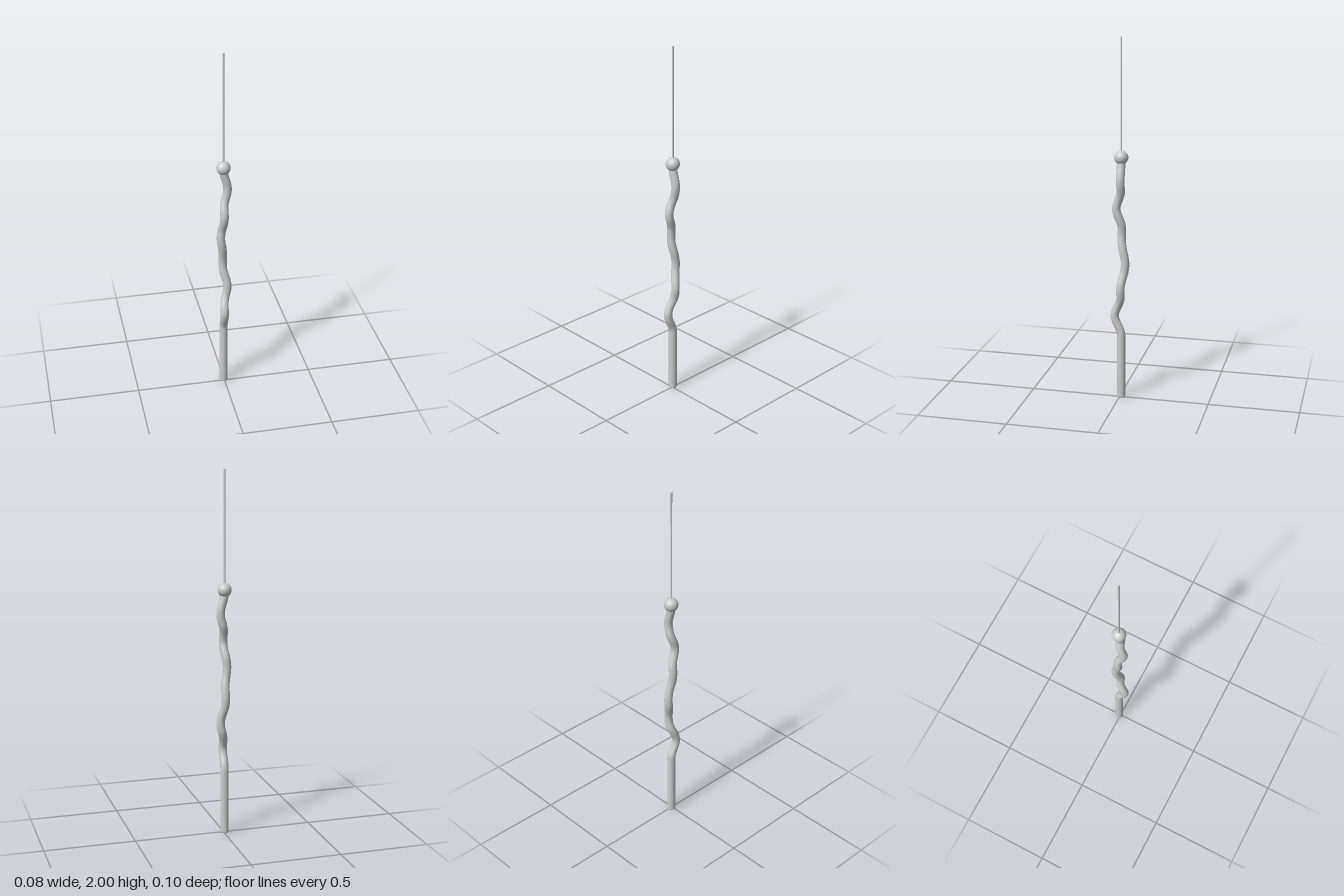
import * as THREE from 'three';

const X0 = -0.004, Z0 = -0.008; // axis of the straight parts
const RADIUS = 0.023, KNOB_Y = 1.362;

// Bends of the shaft: axis, height of the peak, half height of the bend, offset
const BENDS = [
  ['z', 0.475, 0.115, 0.036],
  ['x', 0.63, 0.12, 0.022],
  ['z', 0.77, 0.14, -0.022],
  ['x', 0.94, 0.12, -0.014],
  ['z', 1.08, 0.105, 0.027],
  ['x', 1.235, 0.115, 0.022],
];

// Centre line: a vertical line with smooth sideways bends
class ShaftCurve extends THREE.Curve {
  getPoint(t, target = new THREE.Vector3()) {
    const y = 0.004 + t * (KNOB_Y - 0.004);
    target.set(X0, y, Z0);
    for (const [axis, peak, half, offset] of BENDS) {
      const d = (y - peak) / half;
      if (Math.abs(d) < 1) target[axis] += offset * (0.5 + 0.5 * Math.cos(Math.PI * d));
    }
    return target;
  }
}

export function createModel() {
  const group = new THREE.Group();
  const material = new THREE.MeshStandardMaterial({ color: 0xcccccc });
  const add = (name, geometry, y) => {
    const mesh = new THREE.Mesh(geometry, material);
    mesh.name = name;
    if (y !== undefined) mesh.position.set(X0, y, Z0);
    group.add(mesh);
  };

  // Crooked shaft
  add('shaft', new THREE.TubeGeometry(new ShaftCurve(), 200, RADIUS, 24), undefined);

  // Closed foot with a small bevel
  const foot = [[0, 0], [0.02, 0], [RADIUS, 0.004]].map(([r, y]) => new THREE.Vector2(r, y));
  add('foot', new THREE.LatheGeometry(foot, 24), 0);

  // Round knob and the thin rod above it
  add('knob', new THREE.SphereGeometry(0.038, 32, 20), KNOB_Y);
  const rodLength = 2 - KNOB_Y;
  add('rod', new THREE.CylinderGeometry(0.005, 0.005, rodLength, 16), KNOB_Y + rodLength / 2);

  return group;
}
